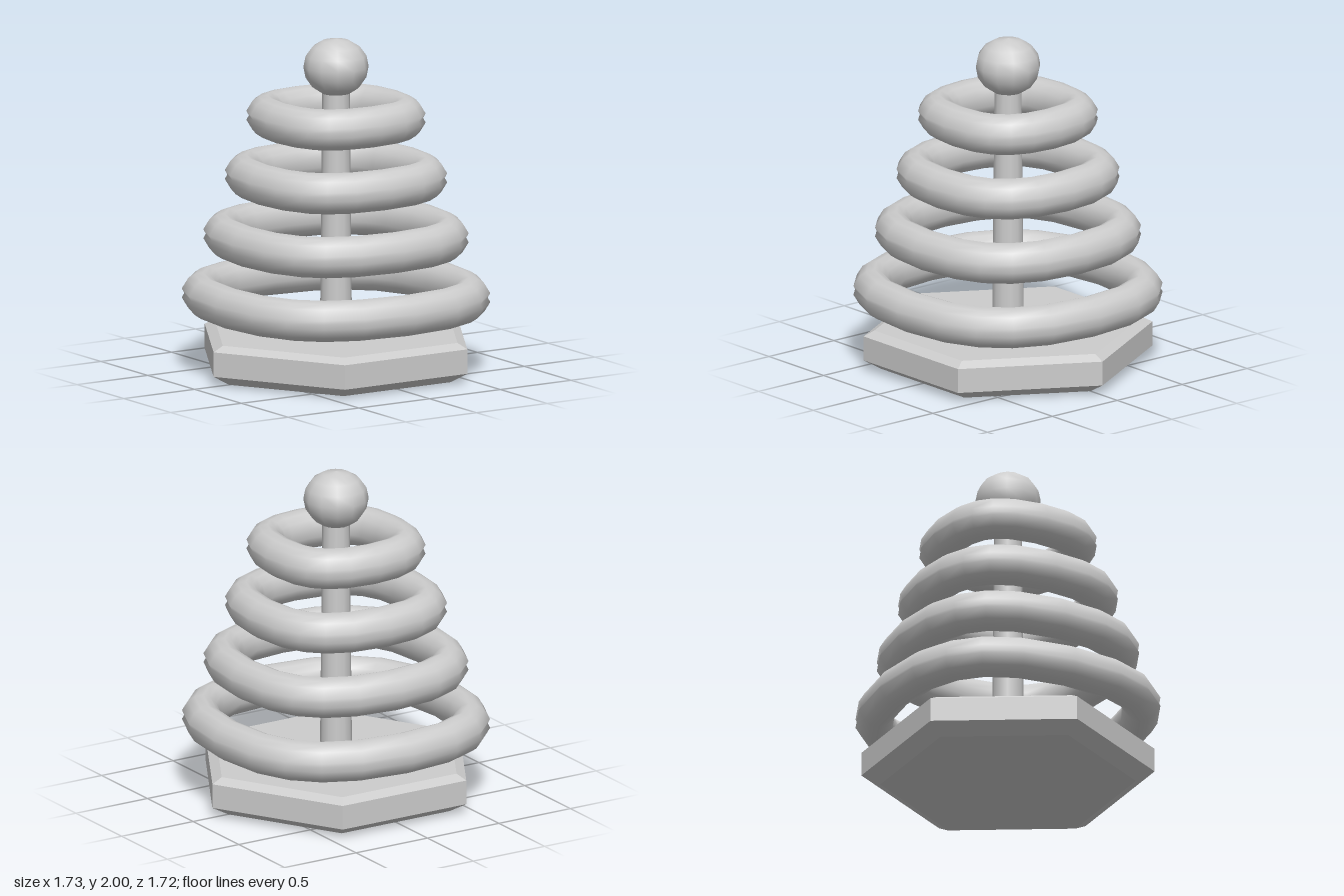
import * as THREE from 'three';

const grey = new THREE.MeshStandardMaterial({ color: 0xcccccc });
grey.name = 'plain grey';

function part(name, geometry) {
  const mesh = new THREE.Mesh(geometry, grey);
  mesh.name = name;
  return mesh;
}

const lathe = (points, sides, start = 0) =>
  new THREE.LatheGeometry(points.map(([r, y]) => new THREE.Vector2(r, y)), sides, start);

// One quarter of the squarish ring outline (x, z), for an outer half width of 1
const QUARTER = [[1, 0], [0.955, 0.384], [0.837, 0.651], [0.651, 0.837], [0.384, 0.955]];

// Tube section as (inset from the outer edge, height), with a groove at the outer seam
const SECTION = [
  [0.015, 0], [0, 0.027], [0.035, 0.085], [0.075, 0.112], [0.125, 0.124], [0.165, 0.11], [0.2, 0.075], [0.22, 0.03],
  [0.22, -0.03], [0.2, -0.075], [0.165, -0.11], [0.125, -0.124], [0.075, -0.112], [0.035, -0.085], [0, -0.027],
];

// Sweep the section around the outline, insetting along the outline's normals
function ringGeometry(outer) {
  const path = [];
  for (let q = 0; q < 4; q++) {
    const c = Math.round(Math.cos(q * Math.PI / 2)), s = Math.round(Math.sin(q * Math.PI / 2));
    for (const [x, z] of QUARTER) path.push(new THREE.Vector2(x * c - z * s, x * s + z * c).multiplyScalar(outer));
  }
  const n = path.length, m = SECTION.length;
  const positions = [], index = [];
  path.forEach((p, i) => {
    const t = path[(i + 1) % n].clone().sub(path[(i + n - 1) % n]).normalize();
    for (const [inset, y] of SECTION) positions.push(p.x - t.y * inset, y, p.y + t.x * inset);
    for (let j = 0; j < m; j++) {
      const i2 = (i + 1) % n, j2 = (j + 1) % m;
      const a = i * m + j, b = i * m + j2, c = i2 * m + j2, d = i2 * m + j;
      index.push(a, b, d, b, c, d);
    }
  });
  const geometry = new THREE.BufferGeometry();
  geometry.setAttribute('position', new THREE.Float32BufferAttribute(positions, 3));
  geometry.setIndex(index);
  geometry.computeVertexNormals();
  return geometry;
}

export function createModel() {
  const group = new THREE.Group();
  group.name = 'stackingRingToy';

  // Bevelled hexagonal base with crisp facets
  const base = lathe([[0, 0], [0.755, 0], [0.865, 0.06], [0.865, 0.207], [0.8, 0.24], [0, 0.24]], 6, Math.PI / 2)
    .toNonIndexed();
  base.computeVertexNormals();
  group.add(part('base', base));

  // Slightly tapered pole
  const pole = part('pole', new THREE.CylinderGeometry(0.081, 0.095, 1.47, 12));
  pole.position.y = 0.23 + 1.47 / 2;
  group.add(pole);

  // Four rings, shrinking upwards
  [0.86, 0.74, 0.62, 0.5].forEach((outer, i) => {
    const ring = part('ring' + (i + 1), ringGeometry(outer));
    ring.position.y = 0.455 + i * 0.358;
    group.add(ring);
  });

  // Ball on top, flat underneath
  group.add(part('topBall', lathe([
    [0, 1.67], [0.085, 1.672], [0.14, 1.708], [0.18, 1.765], [0.193, 1.83],
    [0.18, 1.895], [0.14, 1.95], [0.08, 1.986], [0, 2],
  ], 12)));

  return group;
}
